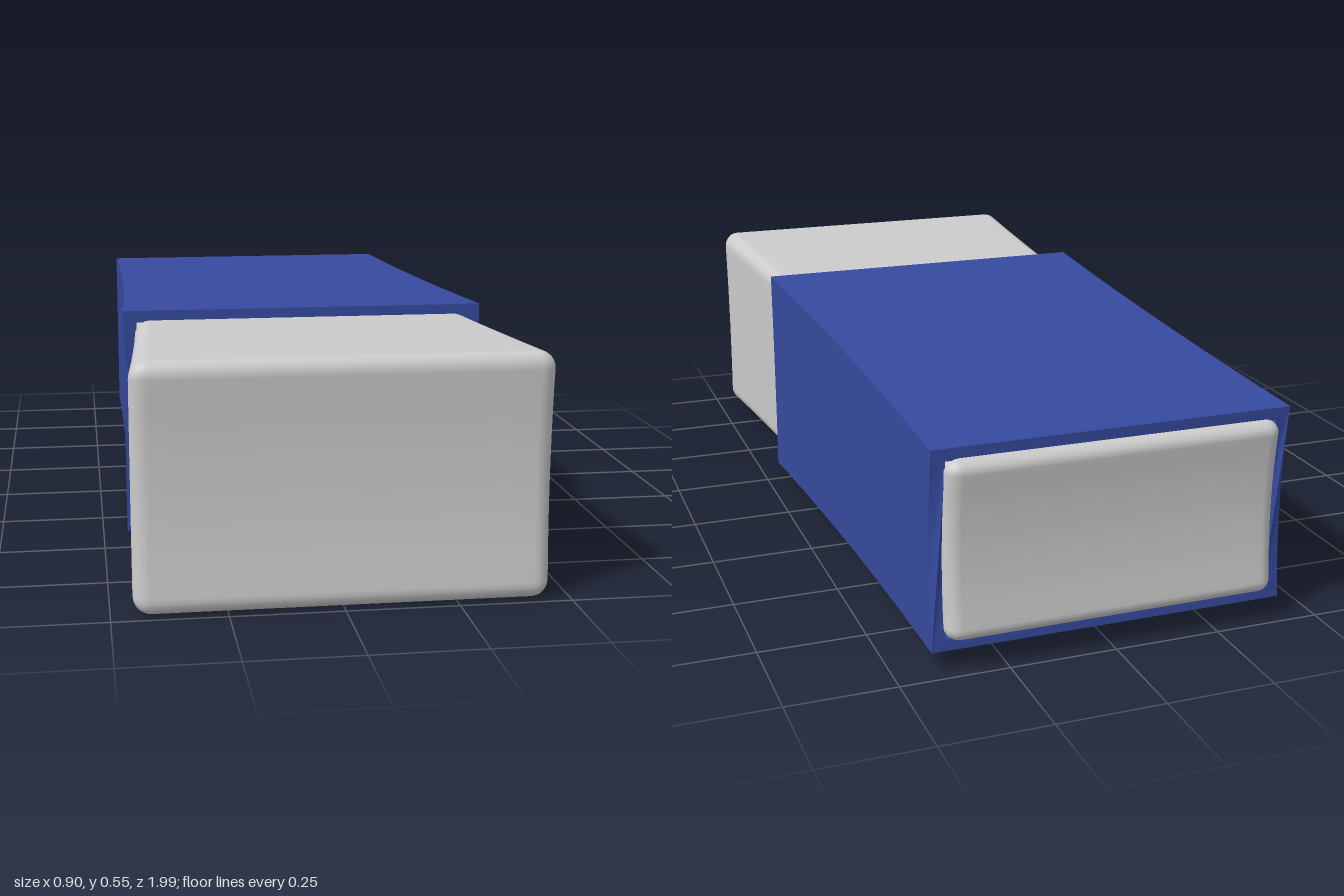
import * as THREE from 'three';
import { mergeVertices, toCreasedNormals } from 'three/addons/utils/BufferGeometryUtils.js';

const CENTER_Y = 0.277;
// Half width and half height of the block along its length
const halfWidth = z => 0.398 + 0.0325 * z + 0.0245 * z * z;
const halfHeight = z => 0.24 + 0.035 * z;

// Apply a rule to every vertex of a geometry
function deform(geometry, rule) {
  const pos = geometry.attributes.position;
  const v = new THREE.Vector3();
  for (let i = 0; i < pos.count; i++) {
    rule(v.fromBufferAttribute(pos, i));
    pos.setXYZ(i, v.x, v.y, v.z);
  }
  return geometry;
}

// Rounded block, flared towards the front, with hollowed ends
function bodyGeometry() {
  const N = 18, K = 3, R = 0.035;
  const box = new THREE.BoxGeometry(2, 2, 2, N, N, N);
  box.deleteAttribute('uv');
  box.deleteAttribute('normal');
  const half = new THREE.Vector3(0.4, 0.24, 1);
  const inner = half.clone().subScalar(R);
  // Outer K segments of each side form the rounded edge, the rest the flat
  const place = (t, flat) => {
    const i = Math.round(Math.abs(t) * N / 2), flatCount = N / 2 - K;
    const d = i <= flatCount
      ? flat * i / flatCount
      : flat + R * Math.tan((i - flatCount) / K * Math.PI / 4);
    return Math.sign(t) * d;
  };
  const core = new THREE.Vector3();
  deform(box, v => {
    v.set(place(v.x, inner.x), place(v.y, inner.y), place(v.z, inner.z));
    core.copy(v).clamp(inner.clone().negate(), inner);
    v.sub(core).setLength(R).add(core);
    const z = v.z, yn = v.y / half.y;
    v.x *= halfWidth(z) / half.x;
    v.y = CENTER_Y + yn * halfHeight(z);
    v.z -= Math.sign(z) * 0.017 * (1 - yn * yn) * z ** 4;
  });
  const geometry = mergeVertices(box, 1e-5);
  geometry.computeVertexNormals();
  return geometry;
}

// Rectangle outline with subdivided upright sides
function outline(s, rows = 10) {
  const points = [];
  for (let i = 0; i <= rows; i++) points.push(new THREE.Vector2(s, s * (2 * i / rows - 1)));
  for (let i = 0; i <= rows; i++) points.push(new THREE.Vector2(-s, s * (1 - 2 * i / rows)));
  return points;
}

// Square-edged band that follows the taper of the block
function sleeveGeometry() {
  const back = -0.967, front = 0.372, inset = 0.9;
  const shape = new THREE.Shape(outline(1));
  shape.holes.push(new THREE.Path(outline(inset).reverse()));
  const geometry = new THREE.ExtrudeGeometry(shape, { depth: 1, steps: 16, bevelEnabled: false });
  deform(geometry, v => {
    const t = v.z, z = back + (front - back) * t;
    const outer = Math.max(Math.abs(v.x), Math.abs(v.y)) > 0.99;
    const s = outer ? 1 : inset;
    const xn = v.x / s, yn = v.y / s;
    v.x = xn * (halfWidth(z) + (outer ? 0.028 : -0.004));
    v.y = CENTER_Y + yn * (halfHeight(z) + (outer ? 0.024 : -0.004));
    v.z = z + (1 - yn * yn) * THREE.MathUtils.lerp(0.016, -0.005, t);
  });
  return toCreasedNormals(geometry, 0.5);
}

export function createModel() {
  const group = new THREE.Group();
  group.name = 'eraser';

  const body = new THREE.Mesh(bodyGeometry(), new THREE.MeshStandardMaterial({ color: 0xcccccc }));
  body.name = 'eraserBlock';

  const sleeve = new THREE.Mesh(sleeveGeometry(), new THREE.MeshStandardMaterial({ color: 0x364a9f }));
  sleeve.name = 'sleeve';

  group.add(body, sleeve);
  return group;
}
